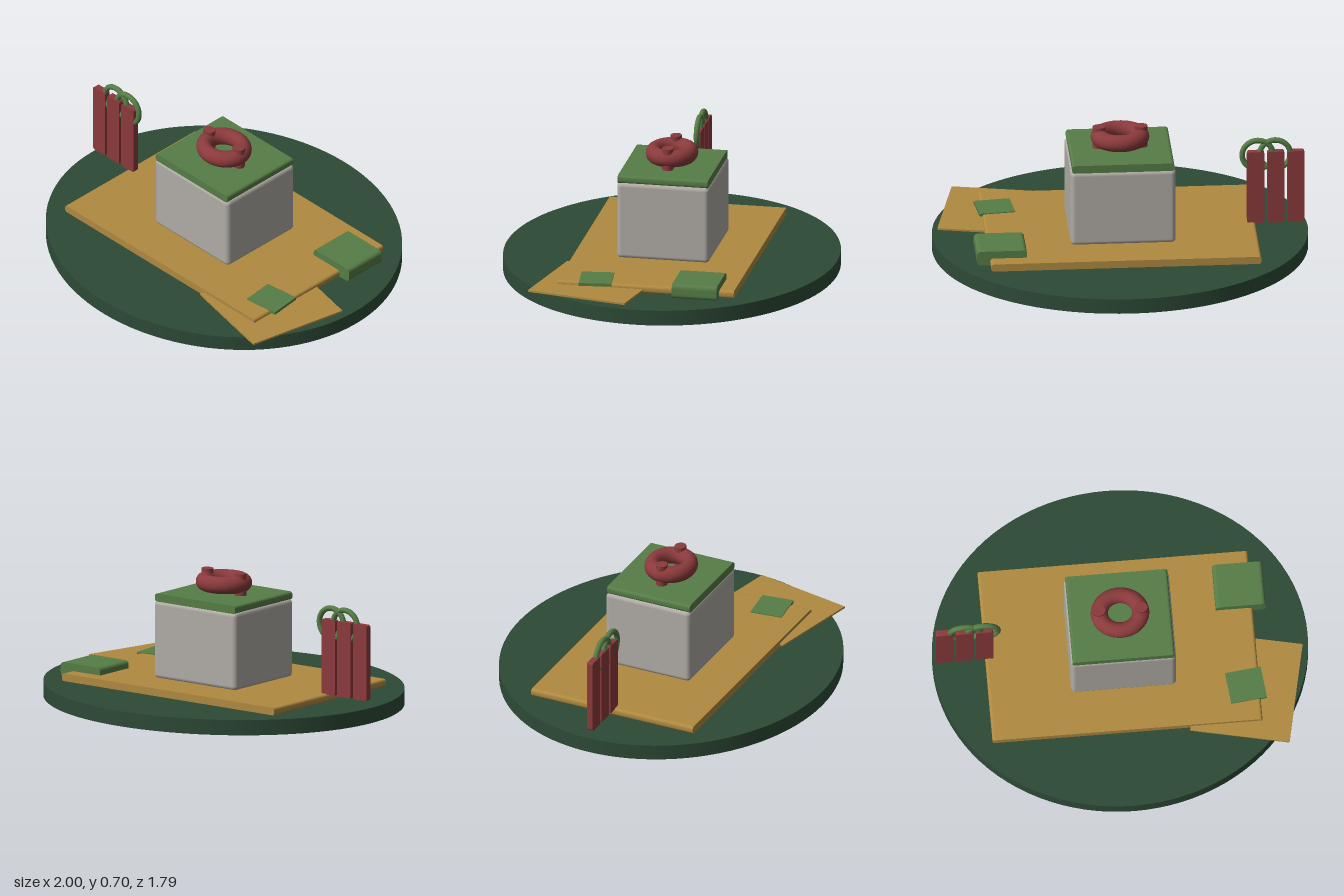
import * as THREE from 'three';
import { RoundedBoxGeometry } from 'three/addons/geometries/RoundedBoxGeometry.js';

const mat = (name, color) => {
  const m = new THREE.MeshStandardMaterial({ color });
  m.name = name;
  return m;
};

// Slab with corners rounded in the xy plane, extruded along z and centred
function slabGeometry(w, h, d, r) {
  const x = w / 2, y = h / 2, s = new THREE.Shape();
  s.moveTo(-x + r, -y);
  s.lineTo(x - r, -y).quadraticCurveTo(x, -y, x, -y + r);
  s.lineTo(x, y - r).quadraticCurveTo(x, y, x - r, y);
  s.lineTo(-x + r, y).quadraticCurveTo(-x, y, -x, y - r);
  s.lineTo(-x, -y + r).quadraticCurveTo(-x, -y, -x + r, -y);
  const g = new THREE.ExtrudeGeometry(s, { depth: d, bevelEnabled: false, curveSegments: 6 });
  return g.translate(0, 0, -d / 2);
}

export function createModel() {
  const darkGreen = mat('dark green', 0x2d4a36);
  const ochre = mat('ochre', 0xb08a40);
  const red = mat('red', 0x8b3a3c);
  const green = mat('leaf green', 0x567d46);
  const grey = mat('warm grey', 0xb0aca6);

  const model = new THREE.Group();
  model.name = 'tabletopSet';
  const add = (name, geometry, material, x, y, z, parent = model) => {
    const mesh = new THREE.Mesh(geometry, material);
    mesh.name = name;
    mesh.position.set(x, y, z);
    parent.add(mesh);
    return mesh;
  };

  // Oval base and board
  add('base', new THREE.CylinderGeometry(1, 1, 0.083, 96).scale(1, 1, 0.893), darkGreen, 0, 0.0415, 0);
  add('board', slabGeometry(1.44, 0.042, 0.955, 0.018), ochre, 0, 0.103, 0);

  // Box with lid
  add('box', new RoundedBoxGeometry(0.56, 0.425, 0.5, 3, 0.025), grey, 0, 0.33, -0.005);
  add('lid', slabGeometry(0.545, 0.044, 0.488, 0.018), green, 0, 0.557, -0.003);

  // Ring handle on two pegs
  const handle = new THREE.Group();
  handle.name = 'handle';
  handle.position.y = 0.637;
  model.add(handle);
  const ring = new THREE.TorusGeometry(0.11, 0.046, 20, 56).rotateX(Math.PI / 2).scale(1, 1, 0.893);
  add('handleRing', ring, red, 0, 0, 0, handle);
  for (const side of [-1, 1]) {
    const peg = new THREE.CylinderGeometry(0.034, 0.034, 0.12, 24).scale(1, 1, 0.893);
    add('handlePeg', peg, red, side * 0.112, 0, 0, handle);
  }

  // Row of upright tags with two linked rings
  const tags = new THREE.Group();
  tags.name = 'tags';
  model.add(tags);
  for (let i = 0; i < 3; i++) {
    add('tag', slabGeometry(0.092, 0.41, 0.034, 0.015), red, -0.936 + i * 0.107, 0.324, -0.003, tags);
  }
  for (const x of [-0.825, -0.732]) {
    add('tagRing', new THREE.TorusGeometry(0.082, 0.015, 12, 40), green, x, 0.508, -0.003, tags);
  }

  // Loose sheet, label and block beside the box
  const sheet = add('sheet', new THREE.BoxGeometry(0.532, 0.01, 0.558), ochre, 0.65, 0.1, 0.283);
  sheet.rotation.y = -0.21;
  const label = add('label', new THREE.BoxGeometry(0.193, 0.016, 0.175), green, 0.648, 0.121, 0.28);
  label.rotation.y = 0.11;
  add('block', slabGeometry(0.268, 0.08, 0.243, 0.026), green, 0.657, 0.125, -0.277);

  return model;
}
